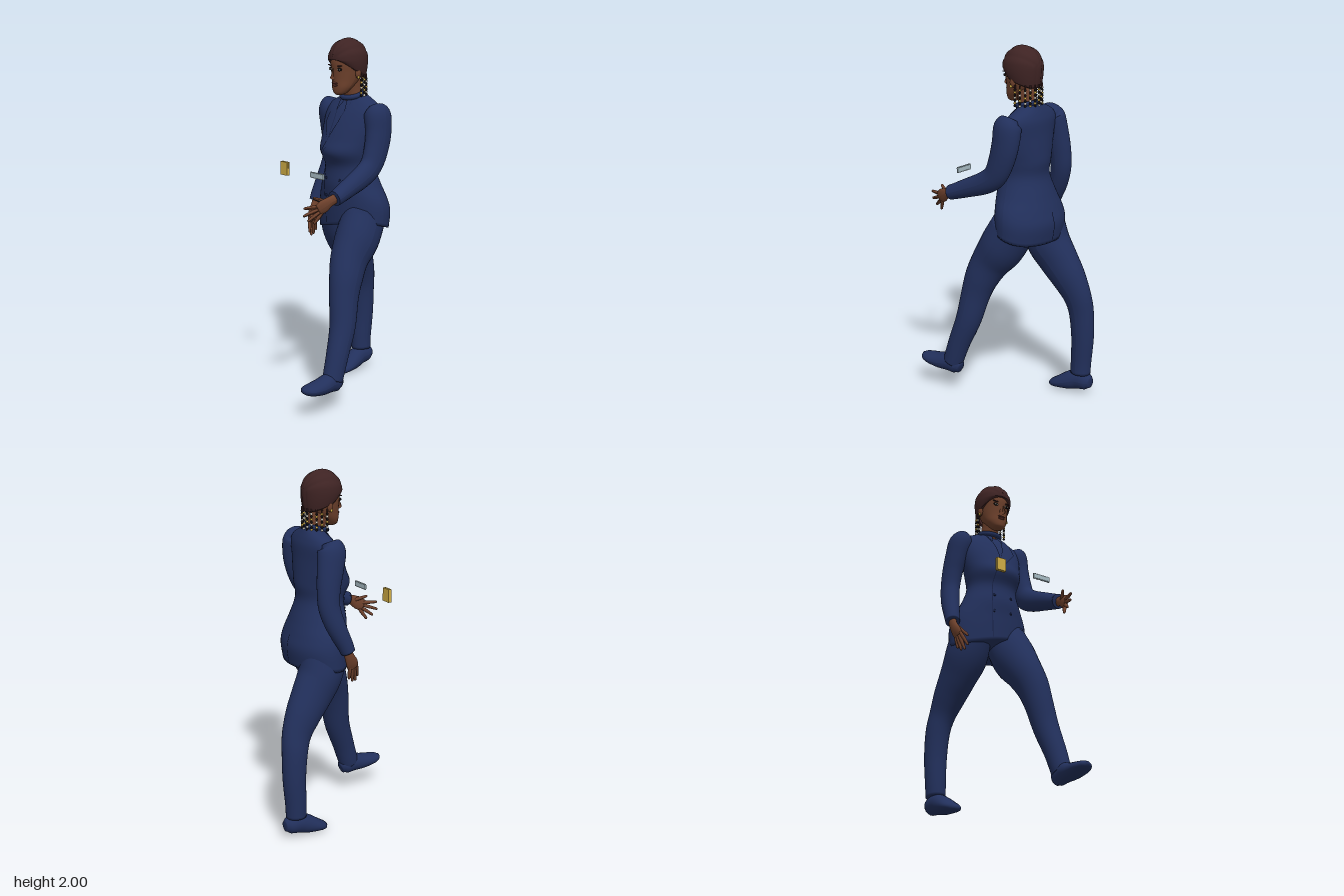
import * as THREE from 'three';

const mat = (name, color, side = THREE.FrontSide) => {
  const m = new THREE.MeshStandardMaterial({ color, side });
  m.name = name;
  return m;
};
const navy = mat('navy suit', 0x22305c, THREE.DoubleSide);
const seamNavy = mat('dark navy seam', 0x182246, THREE.DoubleSide);
const skin = mat('brown skin', 0x6e412c);
const lip = mat('lip', 0x5f322b);
const hairMat = mat('dark brown hair', 0x3e2323, THREE.DoubleSide);
const gold = mat('gold', 0xcfac45);
const steel = mat('pale steel', 0xa8bcc4);
const black = mat('black', 0x121012);
const cream = mat('cream', 0xe2dccb);

const add = (parent, name, geo, material) => {
  const m = new THREE.Mesh(geo, material);
  m.name = name;
  parent.add(m);
  return m;
};

// grid of points (rows x cols) to a smooth surface
function surface(rows) {
  const n = rows[0].length, idx = [];
  for (let i = 0; i < rows.length - 1; i++)
    for (let j = 0; j < n - 1; j++) {
      const a = i * n + j, b = a + n;
      idx.push(a, a + 1, b, a + 1, b + 1, b);
    }
  const g = new THREE.BufferGeometry().setFromPoints(rows.flat());
  g.setIndex(idx);
  g.computeVertexNormals();
  return g;
}

// smooth rings through [x, y, z, radiusX, radiusDepth]
function resample(rings, steps) {
  const c = new THREE.CatmullRomCurve3(rings.map(r => new THREE.Vector3(r[0], r[1], r[2])), false, 'catmullrom');
  const r = new THREE.CatmullRomCurve3(rings.map(q => new THREE.Vector3(q[3], q[4], 0)), false, 'catmullrom');
  return Array.from({ length: steps + 1 }, (_, i) => {
    const t = i / steps;
    return { c: c.getPoint(t), t: c.getTangent(t), r: r.getPoint(t) };
  });
}

function loft(rings, { level = false, sides = 28, warp } = {}) {
  const samples = resample(rings, (rings.length - 1) * 5);
  const rows = samples.map(s => {
    const t = level ? new THREE.Vector3(0, 1, 0) : s.t;
    const u = new THREE.Vector3(1, 0, 0).addScaledVector(t, -t.x).normalize();
    const w = new THREE.Vector3().crossVectors(t, u);
    return Array.from({ length: sides + 1 }, (_, j) => {
      const a = (j % sides) / sides * Math.PI * 2;
      const p = s.c.clone().addScaledVector(u, Math.cos(a) * s.r.x).addScaledVector(w, Math.sin(a) * s.r.y);
      if (warp) warp(p);
      return p;
    });
  });
  // close both ends
  const mid = row => {
    const m = new THREE.Vector3();
    for (let j = 0; j < sides; j++) m.addScaledVector(row[j], 1 / sides);
    return row.map(() => m.clone());
  };
  rows.unshift(mid(rows[0]));
  rows.push(mid(rows[rows.length - 1]));
  return surface(rows);
}

const ball = (parent, name, material, [x, y, z], [a, b, c], seg = 14) => {
  const m = add(parent, name, new THREE.SphereGeometry(1, seg, Math.ceil(seg * 0.7)), material);
  m.position.set(x, y, z);
  m.scale.set(a, b, c);
  return m;
};

const TORSO = [
  [0, 0.955, -0.14, 0.234, 0.152], [0, 1.05, -0.145, 0.235, 0.162], [0, 1.12, -0.135, 0.22, 0.155],
  [0, 1.2, -0.118, 0.183, 0.145], [0, 1.3, -0.107, 0.148, 0.127], [0, 1.38, -0.093, 0.16, 0.15],
  [0, 1.45, -0.105, 0.175, 0.136], [0, 1.53, -0.12, 0.188, 0.116], [0, 1.6, -0.138, 0.192, 0.095],
  [0, 1.64, -0.148, 0.165, 0.075], [0, 1.67, -0.153, 0.11, 0.058], [0, 1.69, -0.152, 0.062, 0.05]];
const torsoRings = resample(TORSO, 60);

// the hem drops at the back and on the right of the front
const hemWarp = p => {
  const k = THREE.MathUtils.clamp((1.2 - p.y) / 0.25, 0, 1);
  const front = THREE.MathUtils.clamp((p.z + 0.25) / 0.25, 0, 1);
  p.y += k * (0.1 * (p.z + 0.13) + 0.22 * p.x * front);
};
// point on the jacket, side = 1 front, -1 back
function onJacket(x, y, lift, side) {
  let i = 0;
  while (i < torsoRings.length - 2 && torsoRings[i + 1].c.y < y) i++;
  const A = torsoRings[i], B = torsoRings[i + 1];
  const f = THREE.MathUtils.clamp((y - A.c.y) / (B.c.y - A.c.y), 0, 1);
  const cz = THREE.MathUtils.lerp(A.c.z, B.c.z, f), r = A.r.clone().lerp(B.r, f);
  const p = new THREE.Vector3(x, y, cz + side * (r.y * Math.sqrt(Math.max(0, 1 - (x / r.x) ** 2)) + lift));
  hemWarp(p);
  return p;
}
// cloth panel between two edges of [x, y] points, laid on the jacket
function panel(left, right, lift, side = 1) {
  const edge = (e, t) => {
    const k = Math.min(t * (e.length - 1), e.length - 1.0001), i = Math.floor(k);
    return [0, 1].map(d => THREE.MathUtils.lerp(e[i][d], e[i + 1][d], k - i));
  };
  return surface(Array.from({ length: 17 }, (_, i) => {
    const a = edge(left, i / 16), b = edge(right, i / 16);
    return Array.from({ length: 7 }, (_, j) => onJacket(
      THREE.MathUtils.lerp(a[0], b[0], j / 6), THREE.MathUtils.lerp(a[1], b[1], j / 6), lift, side));
  }));
}
const seam = (parent, name, pts, side = 1) => add(parent, name,
  panel(pts.map(([x, y]) => [x - 0.002, y]), pts.map(([x, y]) => [x + 0.002, y]), 0.006, side), seamNavy);

function buildJacket(g) {
  add(g, 'jacketBody', loft(TORSO, { level: true, sides: 48, warp: hemWarp }), navy);
  // lapels, with darker edges
  add(g, 'leftLapel', panel([[0.045, 1.67], [0.012, 1.54], [-0.06, 1.37]], [[0.085, 1.66], [0.1, 1.54], [-0.055, 1.365]], 0.006), navy);
  add(g, 'rightLapel', panel([[-0.085, 1.66], [-0.1, 1.54], [-0.03, 1.43]], [[-0.045, 1.67], [-0.025, 1.56], [-0.025, 1.43]], 0.004), navy);
  seam(g, 'leftLapelEdge', [[0.045, 1.67], [0.012, 1.54], [-0.06, 1.37]]);
  seam(g, 'rightLapelEdge', [[-0.045, 1.67], [-0.025, 1.56], [-0.022, 1.47]]);
  seam(g, 'frontOpening', [[-0.06, 1.37], [-0.07, 1.2], [-0.06, 0.97]]);
  seam(g, 'backVent', [[0, 1.12], [0, 0.97]], -1);
  for (const x of [-0.055, 0.055])
    for (const y of [1.13, 1.23]) {
      const p = onJacket(x, y, 0.003, 1);
      ball(g, 'button', seamNavy, [p.x, p.y, p.z], [0.008, 0.008, 0.004], 10);
    }
  // shirt collar
  const collar = add(g, 'collar', new THREE.TorusGeometry(0.058, 0.014, 10, 32), navy);
  collar.position.set(0, 1.688, -0.125);
  collar.rotation.x = Math.PI / 2 + 0.25;
  for (const s of [-1, 1])
    add(g, 'collarWing', panel([[s * 0.004, 1.67], [s * 0.03, 1.61]], [[s * 0.052, 1.68], [s * 0.034, 1.605]], 0.011), navy);
}

const LEFT_ARM = [[0.165, 1.635, -0.145, 0.035, 0.04], [0.185, 1.6, -0.14, 0.065, 0.078], [0.2, 1.5, -0.135, 0.06, 0.08],
  [0.207, 1.4, -0.11, 0.055, 0.075], [0.21, 1.32, -0.07, 0.052, 0.068], [0.215, 1.27, 0, 0.052, 0.062],
  [0.228, 1.225, 0.11, 0.048, 0.052], [0.24, 1.19, 0.2, 0.044, 0.043], [0.241, 1.183, 0.222, 0.042, 0.041]];
const RIGHT_ARM = [[-0.165, 1.635, -0.145, 0.035, 0.04], [-0.185, 1.6, -0.14, 0.065, 0.078], [-0.205, 1.5, -0.16, 0.06, 0.075],
  [-0.218, 1.4, -0.178, 0.055, 0.066], [-0.228, 1.3, -0.18, 0.052, 0.06], [-0.243, 1.2, -0.15, 0.05, 0.055],
  [-0.258, 1.1, -0.105, 0.043, 0.045], [-0.263, 1.05, -0.085, 0.04, 0.04]];
const LEFT_LEG = [[0.11, 1.02, -0.12, 0.11, 0.13], [0.123, 0.9, -0.05, 0.118, 0.13], [0.138, 0.8, 0.02, 0.1, 0.112],
  [0.163, 0.7, 0.068, 0.087, 0.098], [0.18, 0.6, 0.098, 0.077, 0.085], [0.205, 0.45, 0.13, 0.07, 0.074],
  [0.224, 0.3, 0.185, 0.06, 0.064], [0.232, 0.19, 0.222, 0.054, 0.06], [0.234, 0.168, 0.23, 0.052, 0.057]];
const RIGHT_LEG = [[-0.11, 1.02, -0.14, 0.11, 0.13], [-0.12, 0.9, -0.175, 0.118, 0.125], [-0.135, 0.8, -0.235, 0.1, 0.118],
  [-0.15, 0.7, -0.3, 0.086, 0.103], [-0.165, 0.6, -0.35, 0.07, 0.085], [-0.18, 0.5, -0.372, 0.066, 0.073],
  [-0.186, 0.35, -0.38, 0.062, 0.065], [-0.187, 0.2, -0.372, 0.056, 0.06], [-0.185, 0.125, -0.37, 0.054, 0.058]];
const LEFT_SHOE = [[0.232, 0.14, 0.173, 0.025, 0.032], [0.232, 0.152, 0.2, 0.045, 0.05], [0.235, 0.163, 0.25, 0.05, 0.055],
  [0.24, 0.155, 0.32, 0.056, 0.045], [0.243, 0.155, 0.39, 0.054, 0.033], [0.243, 0.16, 0.43, 0.038, 0.022], [0.243, 0.165, 0.449, 0.01, 0.008]];
const RIGHT_SHOE = [[-0.185, 0.08, -0.442, 0.025, 0.03], [-0.185, 0.083, -0.41, 0.045, 0.05], [-0.183, 0.08, -0.35, 0.05, 0.056],
  [-0.177, 0.058, -0.29, 0.056, 0.05], [-0.172, 0.037, -0.23, 0.056, 0.033], [-0.17, 0.024, -0.19, 0.04, 0.022], [-0.17, 0.018, -0.168, 0.01, 0.008]];

function buildHand(g, name, palm, fingers) {
  const hand = new THREE.Group();
  hand.name = name;
  g.add(hand);
  add(hand, 'palm', loft(palm, { sides: 18 }), skin);
  fingers.forEach(([a, b], i) => {
    const at = (t, r) => [0, 1, 2].map(k => a[k] + (b[k] - a[k]) * t).concat(r, r);
    add(hand, i ? 'finger' : 'thumb', loft([at(-0.15, 0.009), at(0.25, 0.0105), at(0.6, 0.009), at(0.92, 0.007), at(1, 0.002)], { sides: 10 }), skin);
  });
}

function buildHead(g) {
  const head = new THREE.Group();
  head.name = 'head';
  g.add(head);
  add(head, 'neck', loft([[0, 1.63, -0.14, 0.06, 0.05], [0, 1.7, -0.125, 0.05, 0.052], [0, 1.78, -0.105, 0.052, 0.06]], { level: true }), skin);
  add(head, 'face', loft([[0, 1.693, -0.03, 0.018, 0.02], [0, 1.705, -0.036, 0.038, 0.037], [0, 1.735, -0.052, 0.058, 0.057],
    [0, 1.775, -0.075, 0.07, 0.08], [0, 1.82, -0.085, 0.078, 0.093], [0, 1.87, -0.088, 0.083, 0.1], [0, 1.92, -0.09, 0.075, 0.09]], { level: true }), skin);
  add(head, 'nose', loft([[0, 1.845, 0.004, 0.008, 0.006], [0, 1.81, 0.013, 0.01, 0.012], [0, 1.787, 0.017, 0.018, 0.014], [0, 1.776, 0.01, 0.012, 0.008]], { level: true, sides: 16 }), skin);
  ball(head, 'upperLip', lip, [0, 1.758, 0.006], [0.023, 0.006, 0.008]);
  ball(head, 'lowerLip', lip, [0, 1.747, 0.004], [0.02, 0.007, 0.009]);
  for (const s of [-1, 1]) {
    ball(head, 'eyeLid', black, [s * 0.033, 1.834, 0.001], [0.019, 0.009, 0.006]);
    ball(head, 'eye', cream, [s * 0.033, 1.833, 0.003], [0.013, 0.005, 0.006]);
    ball(head, 'pupil', black, [s * 0.033, 1.833, 0.006], [0.005, 0.005, 0.004]);
    ball(head, 'brow', hairMat, [s * 0.035, 1.853, 0.003], [0.022, 0.004, 0.006]).rotation.z = s * 0.1;
    ball(head, 'ear', skin, [s * 0.085, 1.81, -0.09], [0.012, 0.028, 0.018]);
    ball(head, 'earring', gold, [s * 0.094, 1.79, -0.085], [0.006, 0.009, 0.007]);
  }
  // hair cap, ridged into rows running front to back
  const rows = [];
  for (let i = 0; i <= 40; i++) {
    const row = [];
    for (let j = 0; j <= 96; j++) {
      const a = (j % 96) / 96 * Math.PI * 2, f = Math.cos(a);
      const bottom = f > 0 ? 1.815 + 0.07 * Math.pow(f, 1.3) : 1.815 + 0.04 * f;
      const v = i / 40, lower = Math.max(0, (v - 0.6) / 0.4), th = Math.min(1, v / 0.6) * Math.PI / 2;
      const rad = Math.sin(th) * (1 - 0.12 * lower * lower) * (i === 40 ? 0.8 : 1);
      const y = lower > 0 ? 1.885 + (bottom - 1.885) * lower : 1.885 + 0.11 * Math.cos(th);
      const x = Math.sin(a) * rad;
      const ridge = 1 + 0.035 * Math.abs(Math.cos(Math.atan2(x, Math.max(0.15, Math.cos(th))) * 5));
      row.push(new THREE.Vector3(x * 0.1 * ridge, 1.885 + (y - 1.885) * (lower > 0 ? 1 : ridge), -0.092 + f * rad * 0.111 * ridge));
    }
    rows.push(row);
  }
  add(head, 'hairCap', surface(rows), hairMat);
  // beaded braid ends round the back
  const beads = [black, gold, black, cream];
  for (let k = 0; k < 11; k++) {
    const a = Math.PI * (0.53 + 0.94 * k / 10), x = Math.sin(a) * 0.09, z = -0.1 + Math.cos(a) * 0.1;
    const braid = add(head, 'braidEnd', new THREE.CylinderGeometry(0.005, 0.004, 0.11, 6), hairMat);
    braid.position.set(x, 1.745, z);
    for (let b = 0; b < 7; b++)
      ball(head, 'bead', beads[(b + k) % 4], [x, 1.775 - b * 0.0145, z], [0.0075, 0.0068, 0.0075], 8);
  }
}

// two small objects floating in front
function buildFloating(g) {
  const box = (name, m, x, y, z, w, h, d) => add(g, name, new THREE.BoxGeometry(w, h, d), m).position.set(x, y, z);
  box('goldPlateFront', gold, -0.152, 1.295, 0.241, 0.057, 0.074, 0.008);
  box('goldPlateBack', gold, -0.152, 1.295, 0.23, 0.057, 0.074, 0.008);
  box('goldPlateCore', gold, -0.152, 1.295, 0.2355, 0.053, 0.07, 0.006);
  box('steelBar', steel, 0.117, 1.29, 0.234, 0.106, 0.024, 0.01);
  for (let i = 0; i < 12; i++)
    for (const s of [-1, 1]) box('barTooth', steel, 0.068 + i * 0.0089, 1.29 + s * 0.0135, 0.234, 0.005, 0.005, 0.009);
}

export function createModel() {
  const g = new THREE.Group();
  g.name = 'walkingFigure';
  buildJacket(g);
  for (const [name, rings] of [['leftSleeve', LEFT_ARM], ['rightSleeve', RIGHT_ARM], ['leftTrouserLeg', LEFT_LEG],
    ['rightTrouserLeg', RIGHT_LEG], ['leftShoe', LEFT_SHOE], ['rightShoe', RIGHT_SHOE]]) add(g, name, loft(rings), navy);
  buildHand(g, 'leftHand',
    [[0.241, 1.185, 0.205, 0.02, 0.026], [0.24, 1.172, 0.25, 0.018, 0.029], [0.232, 1.15, 0.29, 0.016, 0.038], [0.223, 1.132, 0.32, 0.011, 0.032]],
    [[[0.23, 1.172, 0.265], [0.195, 1.195, 0.33]], [[0.222, 1.15, 0.315], [0.2, 1.148, 0.4]], [[0.222, 1.135, 0.318], [0.195, 1.105, 0.4]],
      [[0.222, 1.118, 0.312], [0.195, 1.073, 0.37]], [[0.225, 1.108, 0.3], [0.2, 1.055, 0.33]]]);
  buildHand(g, 'rightHand',
    [[-0.263, 1.065, -0.092, 0.02, 0.026], [-0.262, 1.02, -0.075, 0.018, 0.029], [-0.255, 0.98, -0.055, 0.016, 0.036], [-0.248, 0.95, -0.044, 0.011, 0.032]],
    [[[-0.252, 1.01, -0.05], [-0.212, 0.945, 0]], [[-0.245, 0.955, -0.02], [-0.215, 0.885, 0.005]], [[-0.247, 0.947, -0.035], [-0.223, 0.863, -0.014]],
      [[-0.25, 0.945, -0.05], [-0.232, 0.866, -0.038]], [[-0.252, 0.95, -0.066], [-0.24, 0.885, -0.064]]]);
  buildHead(g);
  buildFloating(g);
  return g;
}
